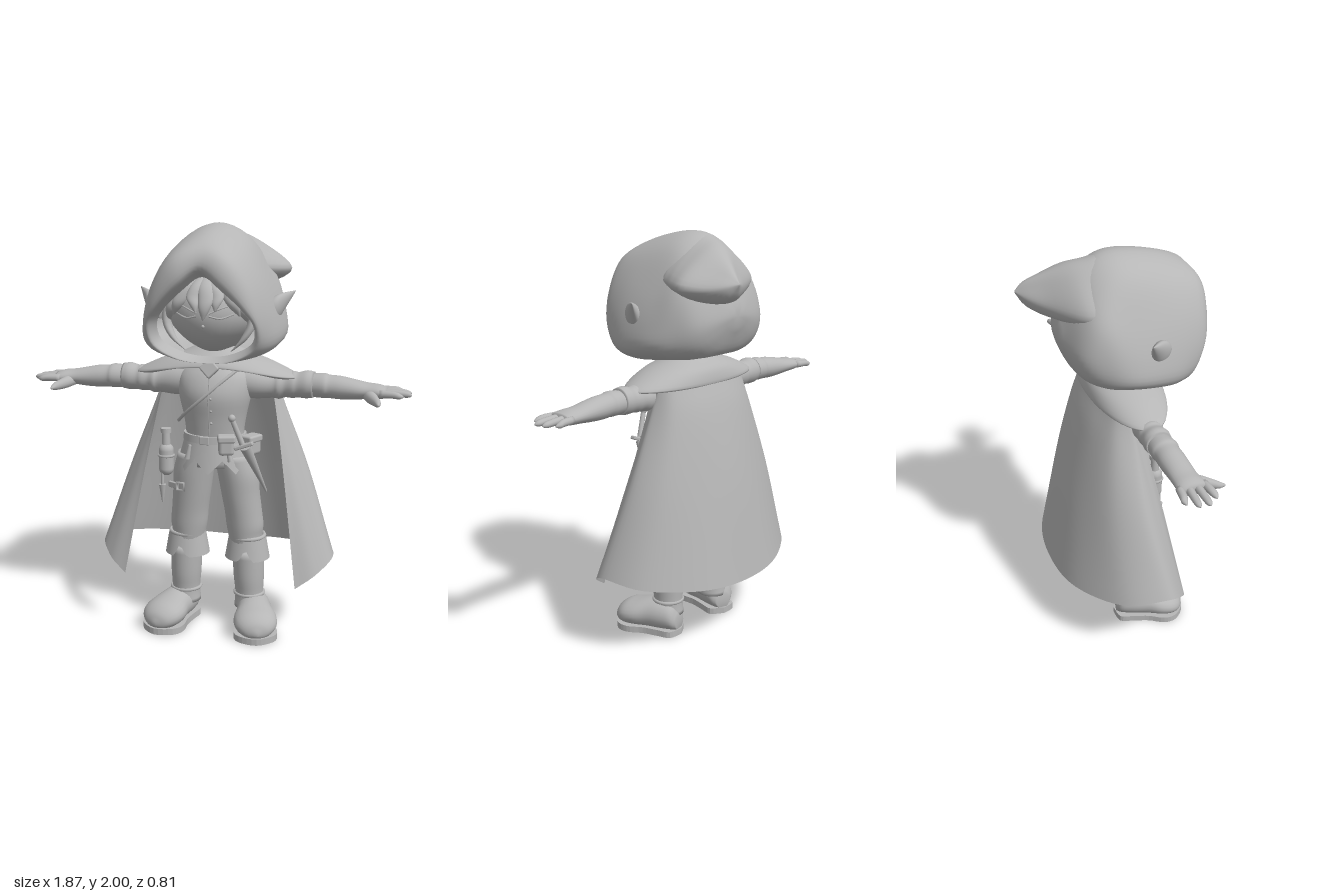
import * as THREE from 'three';
import { mergeVertices } from 'three/addons/utils/BufferGeometryUtils.js';
import { RoundedBoxGeometry } from 'three/addons/geometries/RoundedBoxGeometry.js';

const V = (p) => new THREE.Vector3(...p);

// Smooth skin through rows of control points; each row runs counter-clockwise about the direction of travel.
// caps lists the ends to close: 0 for the first row, 1 for the last
function loft(rows, { nu = 24, step = 4, closed = true, caps = closed ? [0, 1] : [] } = {}) {
  const rings = rows.map((r) => {
    const pts = new THREE.CatmullRomCurve3(r, closed, 'catmullrom', 0.5).getPoints(nu);
    if (closed) pts.pop();
    return pts;
  });
  const w = rings[0].length, nv = (rows.length - 1) * step;
  const pos = [], idx = [];
  const cols = rings[0].map((_, u) =>
    new THREE.CatmullRomCurve3(rings.map((r) => r[u]), false, 'catmullrom', 0.5).getPoints(nv));
  for (let v = 0; v <= nv; v++) for (let u = 0; u < w; u++) pos.push(...cols[u][v].toArray());
  const span = closed ? w : w - 1;
  for (let v = 0; v < nv; v++) for (let u = 0; u < span; u++) {
    const a = v * w + u, b = v * w + (u + 1) % w;
    idx.push(a, b, a + w, b, b + w, a + w);
  }
  for (const end of caps) {
    const v = end * nv, k = pos.length / 3, c = new THREE.Vector3();
    cols.forEach((col) => c.addScaledVector(col[v], 1 / w));
    pos.push(...c.toArray());
    for (let u = 0; u < w; u++) {
      const a = v * w + u, b = v * w + (u + 1) % w;
      idx.push(...(end ? [a, b, k] : [b, a, k]));
    }
  }
  const g = new THREE.BufferGeometry();
  g.setAttribute('position', new THREE.Float32BufferAttribute(pos, 3));
  g.setIndex(idx);
  g.computeVertexNormals();
  return g;
}

// Oval row round an axis, with its two radii in axis order (x: y,z / y: x,z / z: x,y)
function oval(axis, [x, y, z], p, q, n = 12) {
  return Array.from({ length: n }, (_, i) => {
    const a = (i / n) * Math.PI * 2, c = Math.cos(a), s = Math.sin(a);
    if (axis === 'x') return V([x, y + c * p, z + s * q]);
    if (axis === 'y') return V([x + s * p, y, z + c * q]);
    return V([x + c * p, y + s * q, z]);
  });
}
const limb = (axis, list, opt) => loft(list.map(([x, y, z, p, q]) => oval(axis, [x, y, z], p, q)), opt);

function bake(g, pos = [0, 0, 0], rot = [0, 0, 0], scl = [1, 1, 1]) {
  return g.applyMatrix4(new THREE.Matrix4().compose(V(pos),
    new THREE.Quaternion().setFromEuler(new THREE.Euler(...rot)), V(scl)));
}
function mirrored(geo) {
  const g = mergeVertices(geo.clone());
  g.scale(-1, 1, 1);
  const ix = g.index.array;
  for (let i = 0; i < ix.length; i += 3) [ix[i], ix[i + 1]] = [ix[i + 1], ix[i]];
  return g;
}
const mirrorRow = (half) => half.map(V).concat(half.slice(1, -1).reverse().map(([x, y, z]) => V([-x, y, z])));
const box = (w, h, d, pos, rot) => bake(new RoundedBoxGeometry(w, h, d, 2, Math.min(w, h, d) * .3), pos, rot);
const rod = (r1, r2, h, pos, rot) => bake(new THREE.CylinderGeometry(r1, r2, h, 14), pos, rot);
const tube = (pts, r) => new THREE.TubeGeometry(new THREE.CatmullRomCurve3(pts.map(V)), 20, r, 6);

// Head shape: a sphere with a tapered chin; faceZ gives the depth of its front at a point
const taper = (t) => (t < 0 ? 1 - .36 * t * t : 1);
const faceZ = (x, y) => {
  const t = (y - 1.6) / .205;
  return .06 + .25 * Math.sqrt(Math.max(0, 1 - t * t - (x / .23 / taper(t)) ** 2));
};
const onFace = (pts, out) => pts.map(([x, y]) => [x, y, faceZ(x, y) + out]);

export function createModel() {
  const group = new THREE.Group();
  const clay = new THREE.MeshStandardMaterial({ color: 0xb6b6b6, side: THREE.DoubleSide });
  clay.name = 'grey clay';
  const add = (name, geo) => {
    const m = new THREE.Mesh(geo, clay);
    m.name = name;
    group.add(m);
  };
  const pair = (name, geo) => { add(name + 'Left', geo); add(name + 'Right', mirrored(geo)); };

  // Hood: half loops from top to bottom, from the inner lip over the rim to the back
  const hood = [
    [[0, 1.77, .31], [.09, 1.71, .32], [.19, 1.615, .3], [.23, 1.54, .265], [.21, 1.46, .23], [.105, 1.405, .21], [0, 1.39, .19]],
    [[0, 1.815, .38], [.1, 1.75, .4], [.205, 1.64, .38], [.255, 1.55, .34], [.235, 1.45, .3], [.125, 1.385, .27], [0, 1.37, .25]],
    [[0, 1.9, .345], [.13, 1.85, .37], [.23, 1.72, .345], [.285, 1.56, .3], [.27, 1.44, .27], [.14, 1.38, .25], [0, 1.368, .24]],
    [[0, 1.965, .2], [.15, 1.9, .21], [.25, 1.76, .2], [.315, 1.58, .18], [.315, 1.45, .17], [.18, 1.385, .17], [0, 1.375, .17]],
    [[0, 1.998, 0], [.15, 1.93, 0], [.26, 1.75, 0], [.325, 1.58, 0], [.325, 1.47, 0], [.2, 1.41, 0], [0, 1.395, 0]],
  ].concat([
    [[0, 1.95, -.13], [.14, 1.88, -.13], [.25, 1.75, -.13], [.29, 1.6, -.13], [.28, 1.48, -.12], [.18, 1.425, -.12], [0, 1.42, -.12]],
    [[0, 1.83, -.2], [.1, 1.8, -.2], [.18, 1.72, -.21], [.21, 1.6, -.225], [.19, 1.51, -.215], [.11, 1.46, -.205], [0, 1.45, -.205]],
    [[0, 1.67, -.268], [.02, 1.66, -.268], [.035, 1.64, -.27], [.04, 1.62, -.27], [.035, 1.6, -.268], [.02, 1.58, -.266], [0, 1.57, -.265]],
  ]);
  add('hood', loft(hood.map(mirrorRow), { nu: 60, step: 5, caps: [1] }));
  // Drooping point of the hood: ridge at xt, edges at xl and xr, growing out of the crown towards the back left
  const tailRow = ([z, xl, xt, xr, yt, ym, yb]) => [[xt, yt], [(xt + xr) / 2, yt * .68 + ym * .32], [xr, ym], [(xt + xr) / 2, yb],
    [(xl + xt) / 2, yb], [xl, ym], [(xl + xt) / 2, yt * .68 + ym * .32]].map(([x, y]) => V([x, y, z]));
  add('hoodTail', loft([[.08, -.12, 0, .13, 1.94, 1.8, 1.75], [0, -.19, 0, .225, 1.98, 1.79, 1.73],
    [-.06, -.21, 0, .258, 1.984, 1.785, 1.72], [-.12, -.215, .01, .29, 1.968, 1.78, 1.71], [-.2, -.175, .05, .315, 1.94, 1.775, 1.7],
    [-.3, -.01, .11, .27, 1.885, 1.77, 1.705], [-.37, .09, .15, .22, 1.842, 1.78, 1.735], [-.41, .155, .16, .165, 1.802, 1.795, 1.79]]
    .map(tailRow), { nu: 42 }));

  // Head, hair and face details
  const head = new THREE.SphereGeometry(1, 32, 24);
  const hp = head.attributes.position;
  for (let i = 0; i < hp.count; i++) {
    const y = hp.getY(i);
    hp.setXYZ(i, hp.getX(i) * .23 * taper(y), 1.6 + y * .205, .06 + hp.getZ(i) * .25);
  }
  head.computeVertexNormals();
  add('head', head);
  const cap = new THREE.SphereGeometry(1, 32, 12, 0, Math.PI * 2, 0, 1.05);
  add('hairCap', bake(cap, [0, 1.6, .06], [0, 0, 0], [.24, .215, .262]));
  // Fringe locks: root, middle and tip across the brow, with a half width
  for (const [x0, x1, y1, x2, y2, w] of [[0, .015, 1.67, .005, 1.575, .036], [-.02, -.05, 1.68, -.03, 1.61, .03],
    [.03, .065, 1.68, .06, 1.615, .03], [-.04, -.11, 1.67, -.15, 1.59, .036], [.05, .12, 1.67, .16, 1.59, .036],
    [-.07, -.155, 1.645, -.195, 1.54, .03], [.07, .155, 1.645, .195, 1.54, .03]])
    add('fringeLock', limb('y', [[x2, y2, faceZ(x2, y2) + .012, .003, .004], [(x1 + x2) / 2, (y1 + y2) / 2, faceZ((x1 + x2) / 2, (y1 + y2) / 2) + .01, w * .7, .016],
      [x1, y1, faceZ(x1, y1) + .008, w, .02], [(x0 + x1) / 2, 1.73, faceZ((x0 + x1) / 2, 1.73) + .006, w, .025], [x0, 1.78, .17, .02, .03]]));
  pair('sideLock', limb('y', [[.11, 1.42, .21, .003, .003], [.17, 1.48, .21, .016, .018],
    [.205, 1.56, .19, .022, .03], [.19, 1.68, .17, .025, .03]]));
  pair('eyelid', tube(onFace([[.03, 1.592], [.08, 1.582], [.135, 1.6]], 0), .004));
  pair('eyebrow', tube(onFace([[.03, 1.605], [.09, 1.63], [.16, 1.65]], 0), .004));
  add('nose', bake(new THREE.SphereGeometry(.008, 10, 8), [0, 1.545, faceZ(0, 1.545)]));
  pair('ear', limb('x', [[.25, 1.6, .125, .05, .05], [.305, 1.62, .115, .058, .05],
    [.34, 1.652, .085, .036, .03], [.378, 1.69, .045, .003, .004]]));

  // Shoulder mantle, dipping at the shoulders and raised at the front
  const mantleRow = (rx, rz, y, lift) => Array.from({ length: 20 }, (_, i) => {
    const a = i / 20 * Math.PI * 2, f = Math.max(0, Math.cos(a));
    return V([Math.sin(a) * rx, y + lift * f ** 3, .04 + Math.cos(a) * rz]);
  });
  add('mantle', loft([mantleRow(.37, .15, 1.275, .065), mantleRow(.405, .172, 1.288, .05), mantleRow(.29, .16, 1.345, .015),
    mantleRow(.18, .125, 1.385, 0), mantleRow(.1, .08, 1.42, 0)], { nu: 60, caps: [] }));
  add('clasp', box(.07, .07, .025, [.005, 1.335, .208], [-.3, 0, Math.PI / 4]));

  // Cape, open at the front; half rows from the front edge to the back, hem first
  const cape = [
    [[.43, .28, .22], [.525, .345, .17], [.588, .405, .055], [.515, .378, -.145], [.27, .345, -.3], [0, .33, -.34]],
    [[.35, .8, .12], [.4, .81, .08], [.45, .82, -.01], [.38, .8, -.145], [.2, .8, -.23], [0, .8, -.26]],
    [[.29, 1.14, .05], [.3, 1.15, .02], [.32, 1.15, -.02], [.28, 1.14, -.11], [.15, 1.14, -.165], [0, 1.14, -.18]],
    [[.25, 1.31, .03], [.26, 1.31, 0], [.27, 1.31, -.03], [.23, 1.31, -.08], [.12, 1.31, -.11], [0, 1.31, -.12]],
  ];
  add('cape', loft(cape.map((h) => h.map(V).concat(h.slice(0, -1).reverse().map(([x, y, z]) => V([-x, y, z])))),
    { nu: 60, step: 6, closed: false }));

  // Torso, tunic hem and belt
  add('torso', limb('y', [[0, .84, .075, .15, .105], [0, .93, .075, .155, .115], [0, 1, .08, .143, .115], [0, 1.09, .08, .155, .125],
    [0, 1.2, .08, .178, .138], [0, 1.29, .07, .17, .115], [0, 1.36, .05, .09, .08], [0, 1.43, .05, .075, .075]]));
  const hem = new THREE.CylinderGeometry(.15, .18, .13, 48, 1, true);
  const tp = hem.attributes.position;
  for (let i = 0; i < tp.count; i++) if (tp.getY(i) < 0) {
    const k = Math.round((Math.atan2(tp.getX(i), tp.getZ(i)) / Math.PI + 1) * 24) % 6;
    tp.setY(i, -.03 - .035 * Math.abs(k - 3) / 1.5);
  }
  add('tunicHem', bake(hem, [0, .92, .078], [0, 0, 0], [1, 1, .8]));
  add('belt', bake(new THREE.CylinderGeometry(.154, .158, .035, 40), [0, .985, .08], [0, 0, 0], [1, 1, .82]));
  add('buckle', box(.045, .04, .012, [-.02, .985, .21]));
  add('chestStrap', tube([[-.17, 1.06, .13], [-.12, 1.11, .185], [-.03, 1.19, .216], [.06, 1.27, .185], [.12, 1.32, .13]], .009));
  add('tunicSeam', tube([[0, 1.3, .185], [.003, 1.2, .216], [0, 1.1, .204], [0, 1.01, .194]], .004));
  for (const y of [1.07, 1.13, 1.19]) add('button', bake(new THREE.SphereGeometry(.007, 8, 6), [.012, y, .203 + (y - 1.07) * .1]));

  // Arms: sleeve with folds, long glove, thumb and fingers
  pair('sleeve', limb('x', [[.12, 1.25, .05, .075, .075], [.2, 1.245, .05, .073, .072], [.28, 1.24, .045, .062, .062], [.31, 1.24, .045, .066, .065],
    [.34, 1.243, .042, .06, .06], [.375, 1.246, .042, .065, .064], [.4, 1.246, .042, .061, .061], [.44, 1.25, .042, .067, .067], [.475, 1.25, .042, .062, .062]]));
  pair('glove', limb('x', [[.45, 1.247, .042, .054, .056], [.52, 1.249, .045, .059, .066], [.55, 1.246, .045, .055, .061],
    [.6, 1.243, .045, .055, .063], [.67, 1.238, .047, .047, .062], [.73, 1.235, .047, .038, .062], [.78, 1.234, .05, .034, .067],
    [.82, 1.232, .052, .024, .069]]));
  for (let i = 0; i < 4; i++) {
    const z = .108 - i * .038, s = (1.3 - i) * .008, end = [.9, .935, .93, .895][i];
    pair('finger' + (i + 1), limb('x', [[.79, 1.234, z, .018, .018], [.85, 1.234, z + s * .6, .017, .018],
      [end - .02, 1.23, z + s, .014, .015], [end, 1.228, z + s, .004, .004]], { nu: 12 }));
  }
  pair('thumb', limb('z', [[.735, 1.225, .07, .035, .03], [.755, 1.215, .12, .03, .027], [.785, 1.205, .175, .019, .019],
    [.795, 1.2, .21, .005, .005]], { nu: 14 }));

  // Legs: trousers, notched turn-ups, boots
  pair('trouserLeg', limb('y', [[.15, .43, .04, .08, .085], [.145, .48, .042, .085, .09], [.143, .53, .045, .092, .094], [.136, .6, .05, .092, .097],
    [.123, .7, .06, .095, .1], [.112, .8, .068, .1, .105], [.09, .9, .075, .095, .105]]));
  const cuff = new THREE.CylinderGeometry(.092, .112, .12, 40, 1, true);
  const cp = cuff.attributes.position;
  for (let i = 0; i < cp.count; i++) if (cp.getY(i) < 0) {
    const a = Math.atan2(cp.getX(i), cp.getZ(i));
    cp.setY(i, -.055 + .07 * Math.max(0, 1 - Math.abs(a - .1) * 3.2));
  }
  pair('turnUp', bake(cuff, [.155, .415, .04], [0, 0, 0], [1, 1, .92]));
  pair('turnUpTop', bake(new THREE.TorusGeometry(.084, .01, 8, 30), [.155, .473, .04], [Math.PI / 2, 0, 0]));
  pair('bootShaft', limb('y', [[.165, .1, .035, .075, .08], [.165, .17, .035, .07, .075], [.163, .26, .038, .076, .082], [.16, .4, .04, .08, .085]]));
  pair('ankleStrap', bake(new THREE.TorusGeometry(.072, .009, 8, 30), [.165, .17, .035], [Math.PI / 2, 0, 0]));
  const place = [[.19, 0, .04], [0, .27, 0]];
  pair('bootFoot', bake(limb('z', [[0, .065, -.088, .04, .04], [0, .09, -.06, .07, .07], [0, .095, 0, .083, .08], [0, .092, .07, .09, .078],
    [0, .084, .14, .107, .07], [0, .076, .2, .1, .062], [0, .065, .242, .065, .042], [0, .055, .26, .012, .012]]), ...place));
  const outline = new THREE.Shape(new THREE.SplineCurve([[0, .098], [.07, .07], [.078, 0], [.085, -.08], [.108, -.16], [.085, -.225],
    [0, -.265], [-.085, -.225], [-.108, -.16], [-.085, -.08], [-.078, 0], [-.07, .07], [0, .098]]
    .map((p) => new THREE.Vector2(...p))).getPoints(48));
  const sole = new THREE.ExtrudeGeometry(outline, { depth: .032, bevelEnabled: false });
  pair('bootSole', bake(bake(sole, [0, 0, 0], [-Math.PI / 2, 0, 0]), ...place));

  // Belt gear on the left: pouches and a sheathed dagger
  for (const [x, y, z, w, ry] of [[.085, .965, .2, .075, .3], [.19, .955, .12, .085, 1.1]]) {
    add('pouch', box(w, .09, .06, [x, y, z], [0, ry, 0]));
    add('pouchFlap', box(w + .01, .035, .068, [x, y + .035, z], [0, ry, 0]));
  }
  add('daggerGrip', rod(.012, .014, .13, [.145, 1.045, .23], [.15, 0, .35]));
  add('daggerPommel', bake(new THREE.SphereGeometry(.018, 12, 8), [.122, 1.11, .24]));
  add('daggerGuard', box(.095, .018, .03, [.175, .975, .22], [0, 0, .35]));
  add('daggerSheath', rod(.028, .005, .3, [.215, .84, .13], [.5, 0, .25]));

  // Belt gear on the right: flask, holster, hanging charm and thigh strap
  add('flaskNeck', rod(.018, .022, .09, [-.235, .965, .13]));
  add('flaskCap', rod(.026, .026, .022, [-.235, 1.005, .13]));
  add('holster', bake(new THREE.CapsuleGeometry(.037, .09, 6, 14), [-.235, .86, .13]));
  add('holsterBand', bake(new THREE.TorusGeometry(.036, .007, 6, 20), [-.235, .88, .13], [Math.PI / 2, 0, 0]));
  add('charmCord', rod(.007, .007, .1, [-.25, .77, .15]));
  add('charm', rod(.018, .004, .09, [-.25, .69, .15]));
  pair('cordEnd', rod(.008, .013, .07, [.1, .925, .205], [0, 0, .2]));
  add('thighBuckle', bake(new THREE.TorusGeometry(.026, .008, 6, 4), [-.155, .735, .165], [0, -.2, Math.PI / 4]));
  add('thighStrap', box(.06, .03, .014, [-.195, .735, .145], [0, -.5, 0]));

  return group;
}
